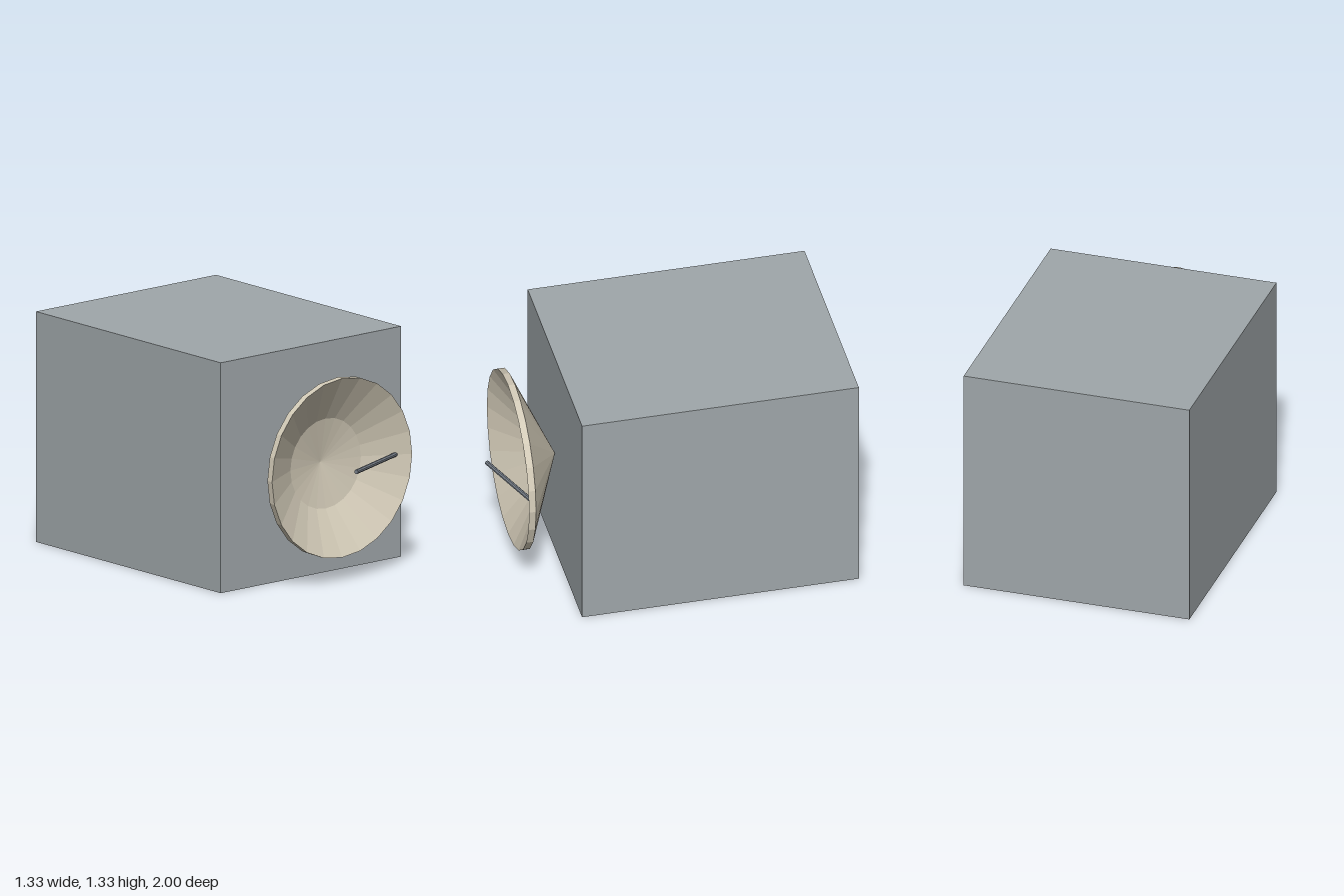
import * as THREE from 'three';

const AXIS_Y = 0.667; // height of the dish axis

export function createModel() {
  const model = new THREE.Group();
  model.name = 'dishUnit';

  const flat = (name, color) => {
    const m = new THREE.MeshStandardMaterial({ color, flatShading: true });
    m.name = name;
    return m;
  };
  const bodyGrey = flat('bodyGrey', 0xa0a7aa);
  const dishCream = flat('dishCream', 0xd3cbb8);
  const rodGrey = flat('rodGrey', 0x757d87);

  const add = (name, geometry, material) => {
    const mesh = new THREE.Mesh(geometry, material);
    mesh.name = name;
    model.add(mesh);
    return mesh;
  };

  // Main box, standing on the ground
  add('body', new THREE.BoxGeometry(1.33, 1.33, 1.595), bodyGrey)
    .position.set(0, 0.665, -0.2025);

  // Dish: conical back, short rim, shallow two-step bowl; [radius, z]
  const profile = [
    [0, 0.595], [0.517, 0.825], [0.517, 0.865], [0.26, 0.723], [0, 0.675],
  ].map(([r, z]) => new THREE.Vector2(r, z));
  const dish = new THREE.LatheGeometry(profile, 24).rotateX(Math.PI / 2);
  add('dish', dish, dishCream).position.y = AXIS_Y;

  // Feed rod from the bowl's left side to the focus on the axis
  const foot = new THREE.Vector3(0.436, AXIS_Y, 0.815);
  const tip = new THREE.Vector3(0, AXIS_Y, 0.987);
  const direction = tip.clone().sub(foot);
  const rod = add('feedRod', new THREE.CylinderGeometry(0.013, 0.013, direction.length(), 8), rodGrey);
  rod.position.copy(foot).lerp(tip, 0.5);
  rod.quaternion.setFromUnitVectors(new THREE.Vector3(0, 1, 0), direction.normalize());

  return model;
}
